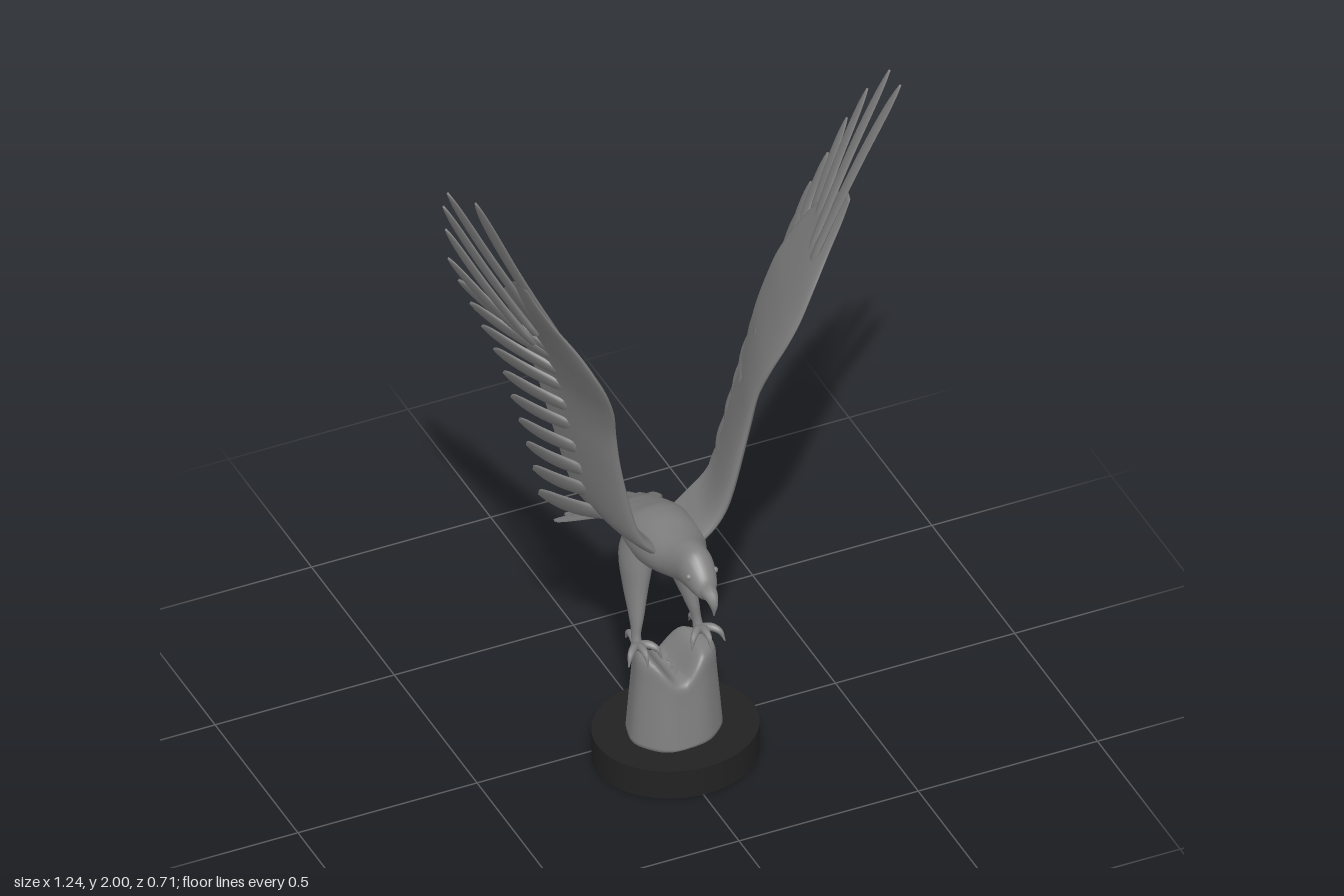
import * as THREE from 'three';

const V = (x, y, z) => new THREE.Vector3(x, y, z);
const lerp = THREE.MathUtils.lerp;

// Solid through closed rings of points, capped at both ends, always facing outward
function loft(rings) {
  const n = rings[0].length, pos = [], idx = [];
  rings.forEach(r => r.forEach(p => pos.push(p.x, p.y, p.z)));
  for (let i = 0; i < rings.length - 1; i++) for (let j = 0; j < n; j++) {
    const a = i * n + j, b = i * n + (j + 1) % n;
    idx.push(a, b, a + n, b, b + n, a + n);
  }
  [0, rings.length - 1].forEach((k, end) => {
    const c = rings[k].reduce((s, p) => s.add(p), V(0, 0, 0)).divideScalar(n);
    const ci = pos.length / 3;
    pos.push(c.x, c.y, c.z);
    for (let j = 0; j < n; j++) {
      const a = k * n + j, b = k * n + (j + 1) % n;
      end ? idx.push(a, b, ci) : idx.push(b, a, ci);
    }
  });
  const at = i => V(pos[i * 3], pos[i * 3 + 1], pos[i * 3 + 2]);
  let volume = 0;
  for (let i = 0; i < idx.length; i += 3) volume += at(idx[i]).dot(at(idx[i + 1]).cross(at(idx[i + 2])));
  if (volume < 0) idx.reverse();
  const g = new THREE.BufferGeometry();
  g.setAttribute('position', new THREE.Float32BufferAttribute(pos, 3));
  g.setIndex(idx);
  g.computeVertexNormals();
  return g;
}

// Catmull-Rom refinement of rows of numbers
function smooth(rows, k = 5) {
  const out = [], get = i => rows[Math.max(0, Math.min(rows.length - 1, i))];
  for (let i = 0; i < rows.length - 1; i++) for (let s = 0; s < k; s++) {
    const t = s / k, [a, b, c, d] = [get(i - 1), get(i), get(i + 1), get(i + 2)];
    out.push(b.map((v, m) => v + 0.5 * t * (c[m] - a[m] + t * (2 * a[m] - 5 * v + 4 * c[m] - d[m]
      + t * (3 * (v - c[m]) + d[m] - a[m])))));
  }
  return out.concat([rows[rows.length - 1]]);
}

const ring = (n, f) => Array.from({ length: n }, (_, i) => f(i / n * Math.PI * 2));

// Tapered round limb along a curve
function limb(points, radii) {
  const curve = new THREE.CatmullRomCurve3(points), n = 12;
  const fr = curve.computeFrenetFrames(n);
  const r = smooth(radii.map(v => [v]), n / (radii.length - 1));
  return loft(r.map(([rad], i) => ring(8, a => curve.getPoint(i / n)
    .addScaledVector(fr.normals[i], Math.cos(a) * rad).addScaledVector(fr.binormals[i], Math.sin(a) * rad))));
}

// Thin rounded blade from base to tip, lying across the given surface normal
function feather(base, tip, width, normal, bow = 0, thick = 0.006) {
  const axis = tip.clone().sub(base).normalize();
  const w = normal.clone().cross(axis).normalize(), n = axis.clone().cross(w);
  const shape = smooth([[0, 0.6], [0.3, 0.9], [0.65, 1], [0.85, 0.85], [0.95, 0.5], [1, 0.08]], 3);
  return loft(shape.map(([t, s]) => {
    const c = base.clone().lerp(tip, t).addScaledVector(n, bow * Math.sin(Math.PI * t));
    return ring(8, a => c.clone().addScaledVector(w, Math.cos(a) * width * s)
      .addScaledVector(n, Math.sin(a) * thick * (1.15 - t * 0.7)));
  }));
}

export function createModel() {
  const grey = new THREE.MeshStandardMaterial({ color: 0x808080 });
  grey.name = 'stone grey';
  const black = new THREE.MeshStandardMaterial({ color: 0x222222 });
  black.name = 'base black';
  const model = new THREE.Group();
  const add = (name, geo, parent = model, mat = grey) => {
    const m = new THREE.Mesh(geo, mat);
    m.name = name;
    parent.add(m);
    return m;
  };

  // Oval base
  const base = add('base', new THREE.CylinderGeometry(1, 1, 0.085, 64), model, black);
  base.scale.set(0.217, 1, 0.195);
  base.position.set(0.012, 0.0425, 0.09);

  // Stump with a notch between two peaks
  const stump = smooth([[0, 1], [0.3, 0.95], [0.7, 0.88], [0.9, 0.85], [0.98, 0.77], [1.01, 0.6], [1.01, 0.35], [1, 0.05]], 4);
  add('stump', loft(stump.map(([t, r]) => ring(48, a => {
    const k = r * (1 + 0.025 * Math.sin(3 * a + 1) + 0.015 * Math.sin(7 * a));
    const x = 0.005 + Math.cos(a) * 0.125 * k, z = 0.09 + Math.sin(a) * 0.11 * k;
    const h = 0.195 + 0.075 * THREE.MathUtils.smoothstep(Math.abs(x + 0.012), 0, 0.075) - (x > 0 ? 0.008 : 0);
    return V(x, 0.08 + t * h, z);
  }))));

  // Body, neck and head: z, y, half width, half height
  const trunkRings = rows => smooth(rows).map(([z, y, rx, ry, droop = 0]) =>
    ring(24, a => V(Math.cos(a) * rx, y + Math.sin(a) * ry - droop * Math.cos(a) ** 2, z)));
  add('body', loft(trunkRings([
    [-0.15, 0.63, 0.055, 0.012], [-0.1, 0.645, 0.07, 0.028], [-0.05, 0.65, 0.085, 0.048], [0, 0.652, 0.09, 0.07],
    [0.06, 0.655, 0.09, 0.078], [0.12, 0.665, 0.082, 0.07], [0.17, 0.675, 0.062, 0.066], [0.21, 0.685, 0.05, 0.064],
    [0.25, 0.688, 0.045, 0.06], [0.285, 0.677, 0.037, 0.046], [0.308, 0.666, 0.026, 0.032], [0.318, 0.66, 0.012, 0.015]])));
  add('beak', limb([V(0, 0.662, 0.295), V(0, 0.662, 0.328), V(0, 0.645, 0.347), V(0, 0.612, 0.349)],
    [0.026, 0.02, 0.012, 0.002]));

  // Fanned tail
  const tail = new THREE.Group();
  tail.name = 'tail';
  model.add(tail);
  add('tailRoot', loft(trunkRings([[-0.07, 0.66, 0.07, 0.025, 0.005], [-0.14, 0.637, 0.075, 0.016, 0.01],
    [-0.21, 0.59, 0.102, 0.01, 0.018], [-0.28, 0.547, 0.13, 0.006, 0.022]])), tail);
  for (let i = -4; i <= 4; i++) {
    const u = i / 4, d = u * u;
    add('tailFeather', feather(V(u * 0.05, 0.645 - d * 0.01, -0.12),
      V(u * 0.138, 0.507 - d * 0.004, -0.355 + d * 0.038 + (i % 2 ? 0.006 : 0)), 0.023, V(u * 0.25, 0.85, -0.5), 0), tail);
  }

  // Wing sections: y, leading x, leading z, trailing x, trailing z, half thickness
  const sections = smooth([
    [0.65, 0.03, 0.13, 0.04, -0.05, 0.03], [0.7, 0.075, 0.145, 0.11, -0.055, 0.032], [0.75, 0.11, 0.15, 0.17, -0.06, 0.03],
    [0.83, 0.138, 0.155, 0.21, -0.07, 0.026], [1.0, 0.175, 0.165, 0.255, -0.07, 0.022], [1.12, 0.195, 0.18, 0.285, -0.07, 0.021],
    [1.22, 0.217, 0.215, 0.31, -0.07, 0.021], [1.31, 0.25, 0.243, 0.34, -0.065, 0.021], [1.38, 0.283, 0.25, 0.365, -0.055, 0.02],
    [1.46, 0.325, 0.24, 0.4, -0.03, 0.017], [1.55, 0.382, 0.215, 0.435, 0.015, 0.012], [1.62, 0.422, 0.203, 0.45, 0.08, 0.008],
    [1.68, 0.45, 0.195, 0.465, 0.145, 0.004]]);
  // Long tip feathers: base x, y, z, tip x, y, z, half width
  const primaries = [
    [0.36, 1.5, 0.165, 0.593, 2.0, 0.192, 0.03], [0.37, 1.48, 0.12, 0.617, 1.96, 0.075, 0.029],
    [0.375, 1.44, 0.08, 0.592, 1.855, -0.005, 0.029], [0.375, 1.4, 0.05, 0.56, 1.735, -0.06, 0.03],
    [0.355, 1.37, 0.03, 0.53, 1.6, -0.11, 0.033]];
  const tipX = [[0.7, 0.245], [0.85, 0.275], [1.0, 0.315], [1.2, 0.37], [1.4, 0.45], [1.55, 0.51]];
  const lookup = y => {
    const i = tipX.findIndex(p => p[0] > y), [a, b] = [tipX[i - 1], tipX[i]];
    return lerp(a[1], b[1], (y - a[0]) / (b[0] - a[0]));
  };

  for (const s of [1, -1]) {
    const side = s > 0 ? 'left' : 'right';
    const wing = new THREE.Group();
    wing.name = side + 'Wing';
    model.add(wing);
    add('wingPanel', loft(sections.map(([y, xl, zl, xt, zt, th]) => {
      const n = V(zl - zt, 0, xt - xl).normalize();
      return ring(24, a => {
        const u = (1 - Math.cos(a)) / 2, k = th * Math.sin(a) * (1 - 0.75 * u);
        return V(s * (lerp(xl, xt, u) + n.x * k), y, lerp(zl, zt, u) + n.z * k);
      });
    })), wing);
    for (const [bx, by, bz, tx, ty, tz, w] of primaries)
      add('primaryFeather', feather(V(s * bx, by, bz), V(s * tx, ty, tz), w, V(s * 0.85, -0.4, 0.3), s * -0.008, 0.007), wing);
    // Trailing feathers, swinging from raised at the top to level at the root
    for (let i = 0; i < 10; i++) {
      const u = i / 9, ty = lerp(1.505, 0.725, u), by = ty + lerp(-0.14, 0.035, Math.sqrt(u));
      const [, xl, zl, xt, zt] = sections.reduce((p, q) => Math.abs(q[0] - by) < Math.abs(p[0] - by) ? q : p);
      const b = V(s * lerp(xl, xt, 0.62), by, lerp(zl, zt, 0.62));
      const t = V(s * lookup(ty), ty, lerp(-0.13, -0.167, u));
      add('trailingFeather', feather(b, t, 0.042, V(s * 0.85, -0.45, 0.32), s * -0.006, 0.009), wing);
    }

    // Leg: y, x, z, half width, half depth
    const leg = new THREE.Group();
    leg.name = side + 'Leg';
    model.add(leg);
    add('thigh', loft(smooth([[0.66, 0.045, 0.0, 0.03, 0.05], [0.58, 0.055, -0.005, 0.04, 0.062], [0.5, 0.066, 0.014, 0.029, 0.05],
      [0.43, 0.077, 0.045, 0.018, 0.028], [0.385, 0.084, 0.06, 0.012, 0.016], [0.35, 0.087, 0.07, 0.015, 0.018]])
      .map(([y, x, z, rx, rz]) => ring(16, a => V(s * (x + Math.cos(a) * rx), y, z + Math.sin(a) * rz)))), leg);
    for (const a of [-0.75, 0, 0.75, Math.PI]) {
      const p = (d, y) => V(s * (0.088 + Math.sin(a) * d), y, 0.075 + Math.cos(a) * d);
      add('toe', limb([p(0, 0.356), p(0.03, 0.369), p(0.054, 0.362), p(0.068, 0.336)], [0.013, 0.011, 0.008, 0.002]), leg);
    }

    // Eye under the brow
    const eye = add(side + 'Eye', new THREE.SphereGeometry(0.009, 12, 8));
    eye.position.set(s * 0.036, 0.695, 0.275);
  }
  return model;
}
